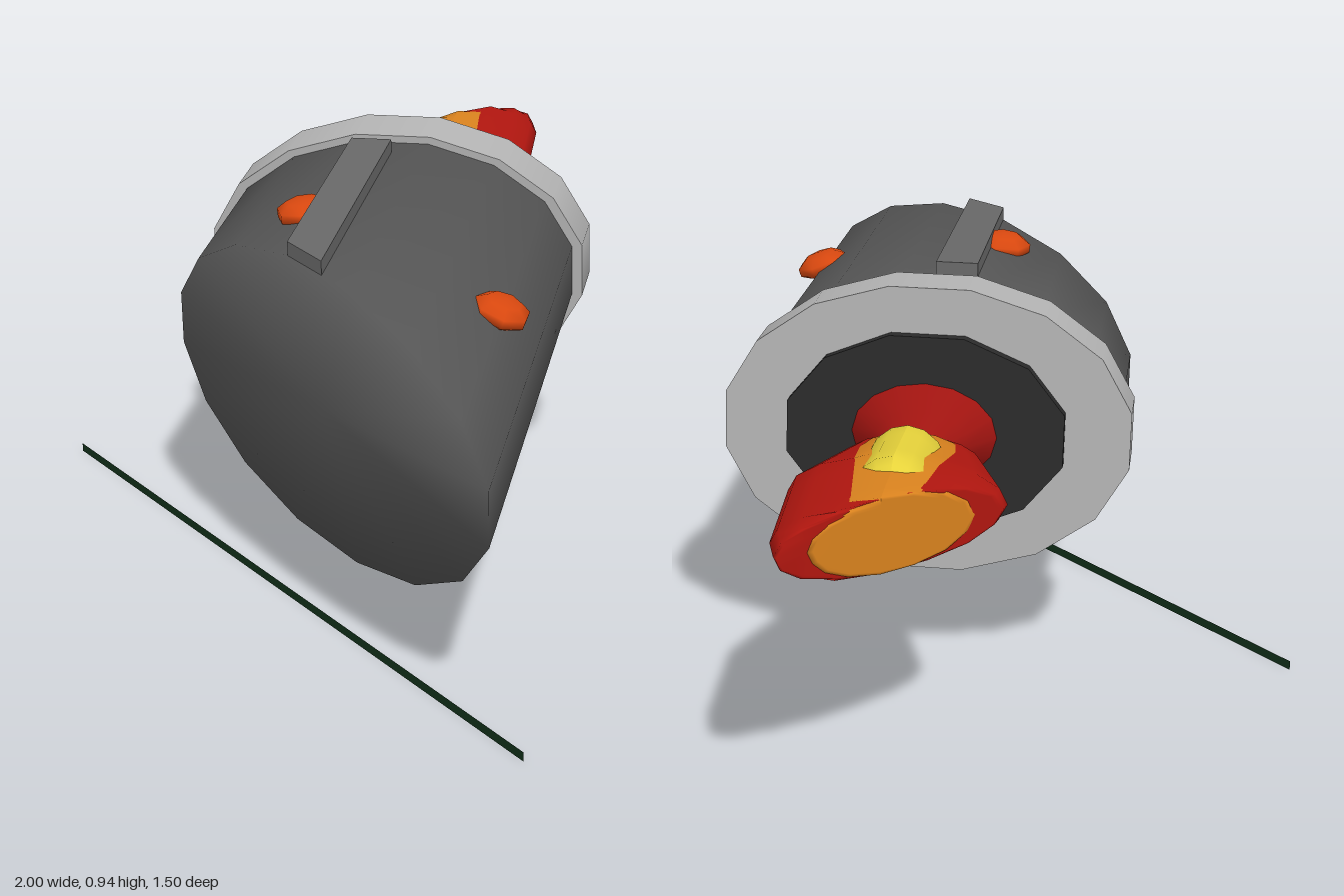
import * as THREE from 'three';
import { mergeVertices } from 'three/addons/utils/BufferGeometryUtils.js';

const TILT = 0.066;          // the barrel dips slightly towards its far end
const C = Math.SQRT1_2;      // it lies at 45 degrees
const FLAT = 0.715;          // height to width of the oval barrel
const ORIGIN = new THREE.Vector3(-0.41, 0.6, 0.095);

const mat = (color) => new THREE.MeshStandardMaterial({ color, side: THREE.DoubleSide });

function add(parent, name, geo, color) {
  const mesh = new THREE.Mesh(geo, mat(color));
  mesh.name = name;
  parent.add(mesh);
  return mesh;
}

// Length along the axis at which a local point (x, y) meets the plane z = 0.75
const frontCut = (x, y) => ((0.75 - ORIGIN.z) / C + x - y * Math.sin(TILT)) / Math.cos(TILT);
// Same for the plane x = limit at the flame end
const sideCut = (x, y, limit) => ((limit - ORIGIN.x) / C - x - y * Math.sin(TILT)) / Math.cos(TILT);

// Oval 16-sided drum along the local z axis
function drum(r, length, z, sides = 16) {
  return new THREE.CylinderGeometry(r, r, length, sides)
    .rotateY(Math.PI / sides).rotateX(Math.PI / 2)
    .scale(1, FLAT, 1).translate(0, 0, z);
}

// Slide the far end (z > mid) of a solid onto the front cutting plane
function cutFront(geo, mid) {
  const p = geo.attributes.position;
  for (let i = 0; i < p.count; i++) {
    if (p.getZ(i) > mid) p.setZ(i, frontCut(p.getX(i), p.getY(i)));
  }
  geo.computeVertexNormals();
  return geo;
}

// Turned shape pointing along -z; points are [radius, distance]
function turned(points, flat, sides) {
  const pts = points.map(([r, d]) => new THREE.Vector2(r, d));
  return new THREE.LatheGeometry(pts, sides).rotateX(-Math.PI / 2).scale(1, flat, 1);
}

// Flame layer, refined lengthwise and cut flat at x = limit
function flameLayer(points, flat, limit) {
  const fine = [];
  points.forEach(([r, d], i) => {
    if (i) {
      const [r0, d0] = points[i - 1];
      for (let k = 1; k <= 4; k++) fine.push([r0 + (r - r0) * k / 4, d0 + (d - d0) * k / 4]);
    } else fine.push([r, d]);
  });
  const geo = turned(fine, flat, 16);
  const p = geo.attributes.position;
  for (let i = 0; i < p.count; i++) {
    p.setZ(i, Math.max(p.getZ(i), sideCut(p.getX(i), p.getY(i), limit)));
  }
  geo.computeVertexNormals();
  return geo;
}

export function createModel() {
  const model = new THREE.Group();
  model.name = 'model';

  // Everything on the barrel's axis
  const barrel = new THREE.Group();
  barrel.name = 'barrel';
  barrel.position.copy(ORIGIN);
  barrel.rotation.set(TILT, Math.PI / 4, 0, 'YXZ');
  model.add(barrel);

  // Body with softly shaded, slanted end
  let body = drum(0.459, 1, 0.52);
  body.deleteAttribute('uv');
  body.deleteAttribute('normal');
  body = cutFront(mergeVertices(body), 0.5);
  add(barrel, 'body', body, 0x555555);

  // Rim and end plate
  add(barrel, 'rim', drum(0.485, 0.148, 0), 0xb4b4b4);
  add(barrel, 'endPlate', drum(0.335, 0.08, -0.065, 12), 0x2b2b2b);

  // Raised rail along the top
  const rail = new THREE.BoxGeometry(0.1, 0.07, 1).translate(-0.04, 0.32, 0.64);
  add(barrel, 'rail', cutFront(rail, 0.5), 0x686868);

  // Nozzle
  const nozzle = turned([[0.173, 0.1], [0.11, 0.19], [0.06, 0.27], [0.035, 0.295], [0, 0.3]], FLAT, 16);
  add(barrel, 'nozzle', nozzle, 0xa01410);

  // Flame in three nested layers
  const flame = new THREE.Group();
  flame.name = 'flame';
  barrel.add(flame);
  add(flame, 'outerFlame', flameLayer(
    [[0, 0.19], [0.05, 0.21], [0.15, 0.3], [0.237, 0.58], [0.215, 0.92], [0.185, 1.03], [0, 1.3]],
    0.38, -0.998), 0xb0160f);
  add(flame, 'middleFlame', flameLayer(
    [[0, 0.2], [0.04, 0.22], [0.13, 0.32], [0.185, 0.58], [0.16, 0.86], [0.12, 1.0], [0, 1.2]],
    0.53, -1), 0xd9821e);
  add(flame, 'flameCore', flameLayer(
    [[0, 0.33], [0.06, 0.34], [0.095, 0.42], [0.098, 0.66], [0.05, 0.73], [0, 0.74]],
    1.2, -1), 0xe6d23a);

  // Studs half sunk into the body
  [['leftStud', 0.41, 0.74, 0.375, -0.35], ['rightStud', -0.1, 0.88, 0.57, 0.1]]
    .forEach(([name, x, y, z, roll]) => {
      const stud = add(model, name, new THREE.SphereGeometry(1, 7, 5), 0xd9480f);
      stud.scale.set(0.07, 0.033, 0.082);
      stud.position.set(x, y, z);
      stud.rotation.set(0, Math.PI / 4, roll, 'YXZ');
    });

  // Thin ground strip
  const strip = add(model, 'groundStrip', new THREE.PlaneGeometry(2, 0.022), 0x12301a);
  strip.position.set(0, 0.011, 0.75);

  return model;
}
